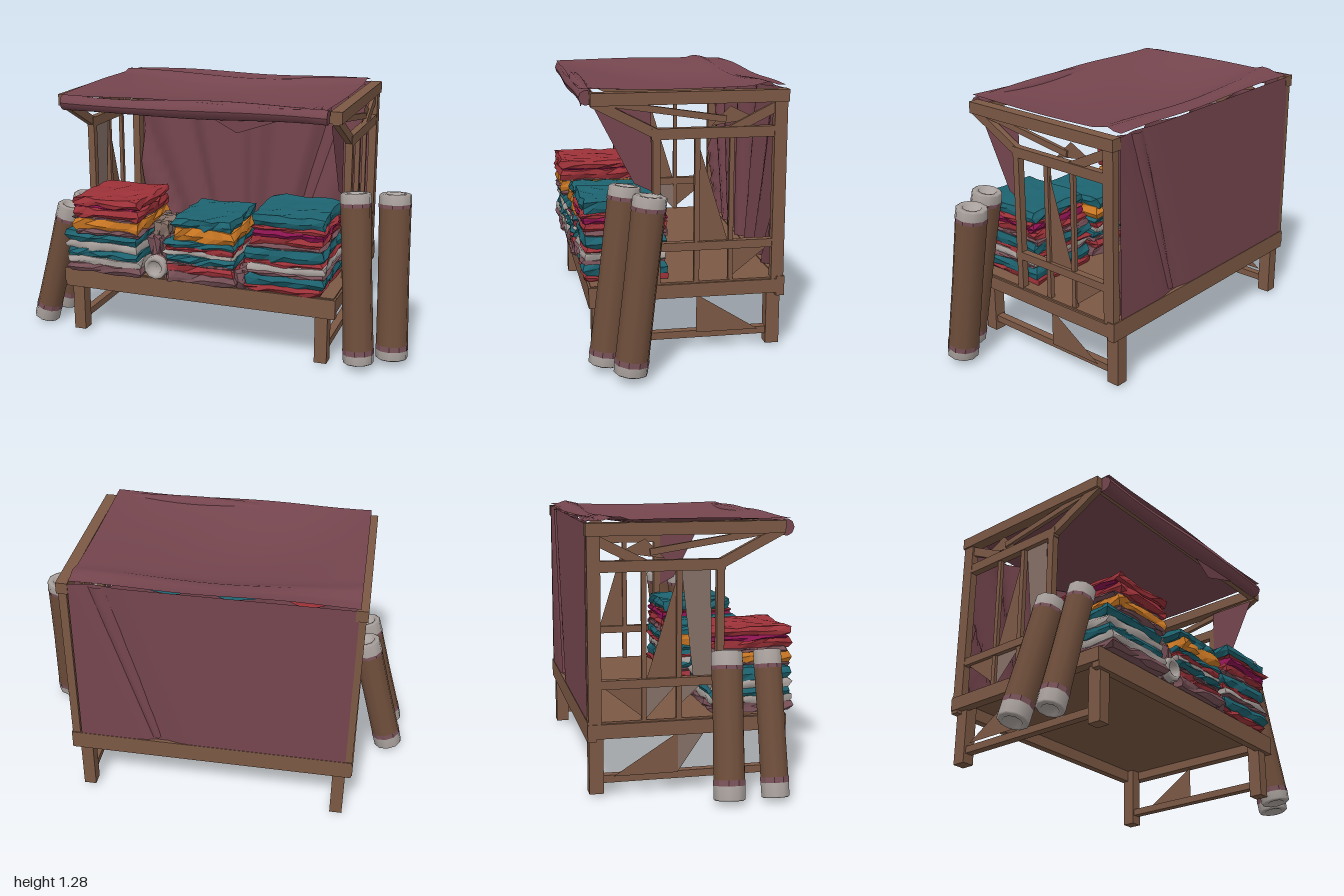
import * as THREE from 'three';

const mat = (name, color, opts = {}) => {
  const m = new THREE.MeshStandardMaterial({ color, ...opts });
  m.name = name;
  return m;
};
const V = (x, y, z) => new THREE.Vector3(x, y, z);

// Repeatable noise in -1..1 taken from a position
const noise = (x, y, z, seed) => {
  const s = Math.sin(Math.round(x * 1000) * 12.9898 + Math.round(y * 1000) * 78.233 + Math.round(z * 1000) * 37.719 + seed * 9.17) * 43758.5453;
  return (s - Math.floor(s)) * 2 - 1;
};

// Moves every vertex of a geometry by a rule
function shape(geo, rule) {
  const p = geo.attributes.position;
  const v = V(0, 0, 0);
  for (let i = 0; i < p.count; i++) {
    rule(v.fromBufferAttribute(p, i));
    p.setXYZ(i, v.x, v.y, v.z);
  }
  geo.computeVertexNormals();
  return geo;
}

export function createModel() {
  const root = new THREE.Group();
  root.name = 'clothStall';
  const wood = mat('wood', 0x7b5844, { side: THREE.DoubleSide });
  const maroon = mat('maroonCloth', 0x75454e, { side: THREE.DoubleSide });
  const rollBrown = mat('rollBrown', 0x6d4d3a);
  const pale = mat('paleCloth', 0xa9a19d, { side: THREE.DoubleSide });
  const taupe = mat('taupe', 0x857067, { side: THREE.DoubleSide });
  const flat = { flatShading: true };
  const mauve = mat('mauveCloth', 0x765057, flat);
  const teal = mat('tealCloth', 0x1d6370, flat);
  const orange = mat('orangeCloth', 0xcb7823, flat);
  const red = mat('redCloth', 0x9b3138, flat);
  const magenta = mat('magentaCloth', 0x8c1450, flat);

  const add = (name, geo, m, parent = root) => {
    const mesh = new THREE.Mesh(geo, m);
    mesh.name = name;
    parent.add(mesh);
    return mesh;
  };
  const box = (name, x0, x1, y0, y1, z0, z1) =>
    add(name, new THREE.BoxGeometry(x1 - x0, y1 - y0, z1 - z0), wood)
      .position.set((x0 + x1) / 2, (y0 + y1) / 2, (z0 + z1) / 2);
  const beam = (name, a, b, w, h) => {
    const mesh = add(name, new THREE.BoxGeometry(w, h, a.distanceTo(b)), wood);
    mesh.position.copy(a).lerp(b, 0.5);
    mesh.lookAt(b);
  };
  const triangle = (name, m, pts) => {
    const g = new THREE.BufferGeometry().setFromPoints(pts);
    g.computeVertexNormals();
    add(name, g, m);
  };

  // Table: top, aprons and legs
  box('tableTop', -0.74, 0.66, 0.34, 0.37, -0.48, 0.43);
  box('frontApron', -0.75, 0.67, 0.268, 0.365, 0.4, 0.44);
  box('backApron', -0.75, 0.67, 0.28, 0.375, -0.49, -0.45);

  // Triangular infill panels; each corner is [z, y]
  const woodPanels = [
    [[-0.22, 0.53], [-0.42, 0.53], [-0.22, 0.37]],
    [[-0.07, 0.3], [-0.07, 0.11], [-0.37, 0.11]],
    [[-0.065, 1.05], [-0.065, 0.56], [-0.215, 0.56]],
    [[-0.13, 1.1], [-0.22, 1.19], [-0.34, 1.13]],
  ];
  const taupePanels = [
    [[0.05, 0.53], [-0.06, 0.53], [-0.06, 0.43]],
    [[-0.07, 0.53], [-0.22, 0.53], [-0.22, 0.37]],
    [[0.06, 0.3], [-0.07, 0.3], [-0.07, 0.11]],
    [[0.08, 1.05], [-0.055, 1.05], [0.0, 0.56]],
    [[0.08, 1.05], [0.0, 0.56], [0.09, 0.56]],
  ];
  const panel = (m, x, pts) => triangle('infillPanel', m, pts.map(([z, y]) => V(x, y, z)));

  for (const [x, outer] of [[-0.69, -0.73], [0.6, 0.645]]) {
    box('sideApron', outer - 0.025, outer + 0.025, 0.295, 0.362, -0.49, 0.44);
    for (const z of [-0.447, 0.39]) box('leg', x - 0.031, x + 0.031, 0.028, 0.34, z - 0.033, z + 0.033);
    box('lowRail', x - 0.02, x + 0.02, 0.075, 0.11, -0.42, 0.38);

    // Side frame above the table
    const bar = (name, y0, y1, z0, z1, w = 0.018) => box(name, outer - w, outer + w, y0, y1, z0, z1);
    bar('backPost', 0.3, 1.26, -0.485, -0.425, 0.02);
    bar('frontPost', 0.34, 1.09, 0.105, 0.14);
    bar('innerPost', 0.34, 1.07, -0.08, -0.055, 0.012);
    bar('thinPost', 0.34, 1.07, -0.24, -0.218, 0.01);
    bar('middleRail', 0.52, 0.56, -0.43, 0.145);
    bar('upperRail', 1.045, 1.095, -0.43, 0.145);
    bar('canopyBar', 1.205, 1.262, -0.49, 0.42, 0.028);
    beam('frontBrace', V(outer, 1.22, 0.41), V(outer, 1.07, 0.12), 0.03, 0.045);
    beam('centreBrace', V(outer, 1.22, 0.38), V(outer, 1.13, -0.2), 0.02, 0.03);
    beam('backBrace', V(outer, 1.07, -0.21), V(outer, 1.19, -0.45), 0.02, 0.045);
    for (const pts of woodPanels) panel(wood, outer, pts);
  }
  for (const pts of taupePanels) panel(taupe, -0.725, pts);
  panel(maroon, 0.62, [[0.4, 1.19], [0.14, 1.19], [0.14, 0.8]]);
  panel(maroon, 0.62, [[0.4, 1.19], [0.14, 0.8], [0.22, 0.84]]);
  box('canopyFrontBar', -0.74, 0.65, 1.205, 1.24, 0.385, 0.415);

  // Sagging canopy with a raised fold along the back
  const canopy = new THREE.PlaneGeometry(1.335, 0.95, 16, 24);
  canopy.rotateX(-Math.PI / 2);
  add('canopy', shape(canopy, (v) => {
    const u = v.x / 0.67, w = v.z / 0.475;
    const sag = (1 - u * u) * (1 - w * w);
    const fold = Math.exp(-(((v.z + 0.36 + v.x * 0.04) / 0.035) ** 2)) * 0.018;
    v.y = 1.272 - 0.055 * sag + fold + 0.005 * Math.sin(v.x * 7 + v.z * 5);
    v.x -= 0.055;
    v.z -= 0.012;
  }), maroon);

  // Rolled front hem with a loose flap
  const hem = new THREE.CylinderGeometry(0.046, 0.046, 1.335, 9, 14);
  hem.rotateZ(Math.PI / 2);
  add('canopyHem', shape(hem, (v) => {
    const k = 0.88 + 0.12 * Math.sin(v.x * 6 + 1);
    v.y = v.y * k + 1.232 + 0.008 * Math.sin(v.x * 4);
    v.z = v.z * k + 0.432;
    v.x -= 0.055;
  }), maroon);
  triangle('hemFlap', maroon, [V(0.02, 1.21, 0.42), V(0.17, 1.13, 0.415), V(0.4, 1.21, 0.42)]);

  // Back curtain: a taut outer sheet and a pleated inner sheet fanning from above
  add('outerCurtain', shape(new THREE.PlaneGeometry(1.335, 0.885, 24, 8), (v) => {
    const t = (0.4425 - v.y) / 0.885;
    const crease = Math.exp(-(((v.x - 0.55 + 0.3 * t) / 0.07) ** 2));
    v.z = -0.488 + 0.02 * crease;
    v.x -= 0.05;
    v.y += 0.8175;
  }), maroon);
  add('innerCurtain', shape(new THREE.PlaneGeometry(1.3, 0.86, 48, 10), (v) => {
    const t = (0.43 - v.y) / 0.86;
    const fan = v.x / (1.25 - 0.6 * t);
    v.z = -0.452 + 0.026 * Math.sin(fan * 24 + 0.6) + 0.008 * Math.sin(fan * 41);
    v.x -= 0.05;
    v.y += 0.82;
  }), maroon);

  // Folded cloth stacks: each layer is [bottom, top, colour]
  let seed = 1;
  const wrinkled = (name, x0, x1, y0, y1, z0, z1, m, rough = 0.011) => {
    const s = seed++;
    const g = new THREE.BoxGeometry(x1 - x0, y1 - y0, z1 - z0, 6, 2, 6);
    shape(g, (v) => {
      const { x, y, z } = v;
      const edge = Math.abs(y) < 0.003 ? 1.02 : 0.97;
      v.x = x * edge + noise(x, y, z, s) * rough;
      v.y = y + noise(y, z, x, s) * rough * 0.5;
      v.z = z * edge + noise(z, x, y, s) * rough;
    });
    add(name, g, m).position.set((x0 + x1) / 2, (y0 + y1) / 2, (z0 + z1) / 2);
  };
  const stacks = [
    [-0.715, -0.325, 0.02, [[0.37, 0.415, mauve], [0.41, 0.45, pale], [0.445, 0.49, teal], [0.485, 0.53, pale],
      [0.525, 0.58, teal], [0.575, 0.6, mauve], [0.595, 0.65, orange], [0.645, 0.665, mauve],
      [0.66, 0.71, red], [0.705, 0.725, magenta], [0.72, 0.76, red]]],
    [-0.185, 0.165, 0, [[0.37, 0.42, mauve], [0.415, 0.46, red], [0.455, 0.475, mauve], [0.47, 0.51, teal],
      [0.505, 0.535, pale], [0.53, 0.555, red], [0.55, 0.585, teal], [0.58, 0.645, orange], [0.64, 0.69, teal]]],
    [0.235, 0.61, 0, [[0.37, 0.41, red], [0.405, 0.465, teal], [0.46, 0.48, mauve], [0.475, 0.51, pale],
      [0.505, 0.535, red], [0.53, 0.59, teal], [0.585, 0.615, mauve], [0.61, 0.655, red],
      [0.65, 0.69, magenta], [0.685, 0.705, red], [0.7, 0.755, teal]]],
  ];
  for (const [x0, x1, dz, layers] of stacks) {
    for (const [y0, y1, m] of layers) {
      const n = noise(y0, x0, y1, 3) * 0.012;
      const inset = y0 > 0.57 ? 0.045 : 0;
      wrinkled('foldedCloth', x0 + n + inset * (x0 < 0 ? 1 : 0.5), x1 + n, y0, y1, 0.07 + n + dz, 0.455 + n + dz, m);
    }
  }

  // Crumpled bundles between the stacks
  wrinkled('crumpledBundle', -0.29, -0.19, 0.37, 0.57, 0.16, 0.42, mauve, 0.022);
  wrinkled('crumpledBundle', -0.285, -0.205, 0.56, 0.64, 0.18, 0.38, taupe, 0.022);
  wrinkled('crumpledBundle', 0.165, 0.245, 0.37, 0.45, 0.14, 0.44, mauve, 0.02);

  // Cloth roll: brown body, mauve bands, pale ends with a sunken core
  const roll = (name, bottom, top, r, endLength, m = rollBrown) => {
    const g = new THREE.Group();
    g.name = name;
    const h = bottom.distanceTo(top) / 2;
    const lathe = (part, mt, pts) =>
      add(part, new THREE.LatheGeometry(pts.map(([x, y]) => new THREE.Vector2(x * r, y)), 10), mt, g);
    const seam = h - endLength;
    lathe('rollBody', m, [[1, -seam], [0.97, 0], [1, seam]]);
    lathe('rollBand', mauve, [[1.025, -seam - 0.008], [1.025, -seam + 0.018]]);
    lathe('rollBand', mauve, [[1.025, seam - 0.01], [1.025, seam + 0.008]]);
    for (const s of [-1, 1]) {
      lathe('rollEnd', pale, [[1.01, s * seam], [1.0, s * (h - 0.006)], [0.88, s * h], [0.6, s * h], [0.5, s * (h - 0.025)], [0, s * (h - 0.025)]]);
    }
    g.position.copy(bottom).lerp(top, 0.5);
    g.quaternion.setFromUnitVectors(V(0, 1, 0), top.clone().sub(bottom).normalize());
    root.add(g);
  };
  roll('leftInnerRoll', V(0.78, 0.04, 0.385), V(0.715, 0.855, 0.275), 0.074, 0.055);
  roll('leftOuterRoll', V(0.922, 0.045, 0.285), V(0.888, 0.845, 0.19), 0.077, 0.055);
  roll('rightFrontRoll', V(-0.935, 0.03, 0.335), V(-0.758, 0.675, 0.34), 0.066, 0.075);
  roll('rightBackRoll', V(-0.935, 0.03, 0.12), V(-0.758, 0.675, 0.15), 0.074, 0.075);
  roll('smallPaleRoll', V(-0.24, 0.43, 0.12), V(-0.24, 0.43, 0.47), 0.06, 0.04, pale);

  return root;
}
